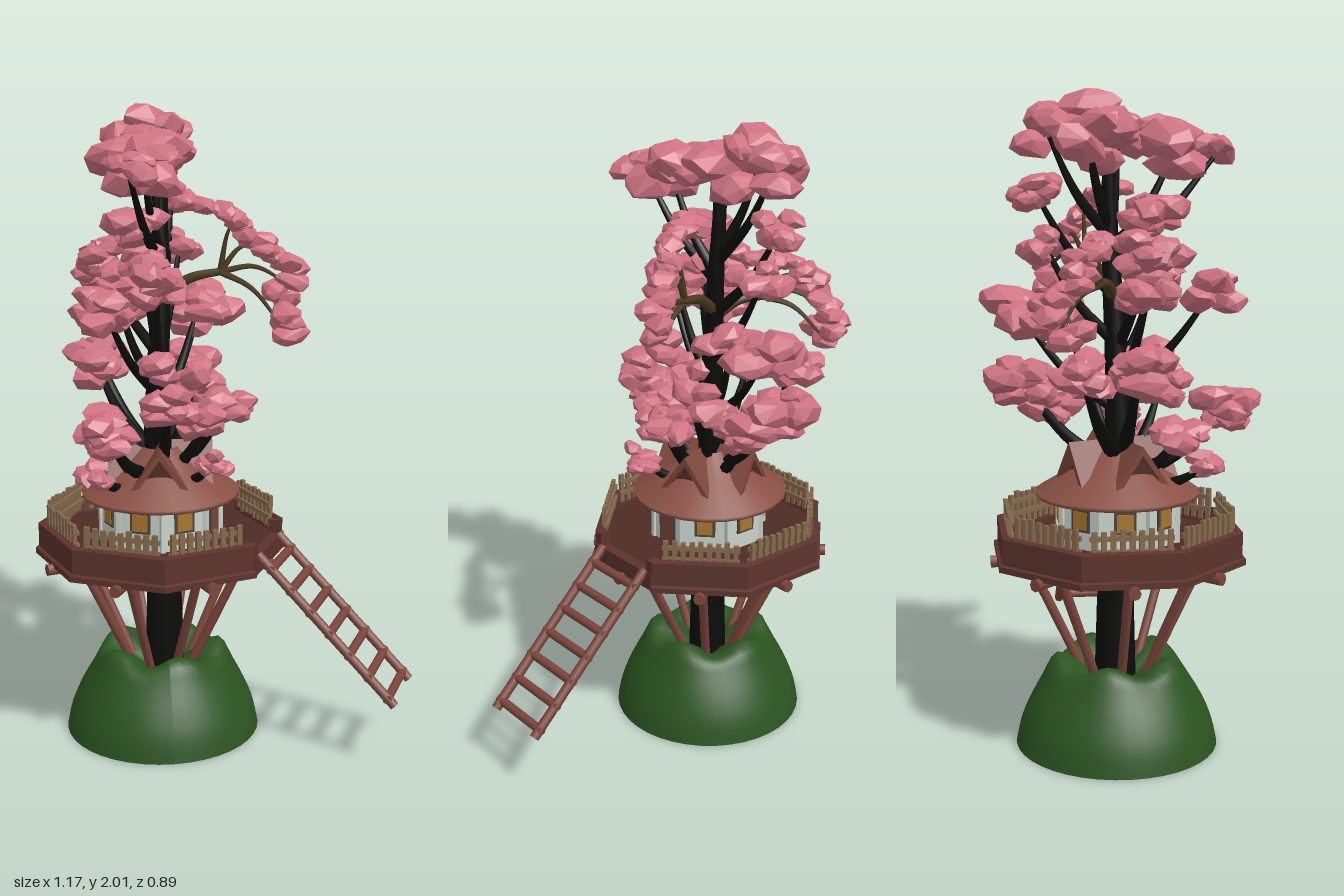
import * as THREE from 'three';
import { ConvexGeometry } from 'three/addons/geometries/ConvexGeometry.js';

const mat = (color, extra = {}) => new THREE.MeshStandardMaterial({ color, ...extra });
const flat = { flatShading: true };
const two = { flatShading: true, side: THREE.DoubleSide };
const M = {
  grass: mat(0x2b5420, { side: THREE.DoubleSide }), bark: mat(0x0c0c0b), twig: mat(0x4a3a1e),
  blossom: mat(0xce7382, flat), deck: mat(0x5c332c, two), floor: mat(0x4e2b25, flat),
  log: mat(0x7c463b), roof: mat(0x8a5044, { side: THREE.DoubleSide }), gable: mat(0x7c463b, two),
  wall: mat(0xc9d2cb, flat), pane: mat(0xa8752f), fence: mat(0x85694c), dark: mat(0x4a443c),
};
const V = (x, y, z) => new THREE.Vector3(x, y, z);
const P = (x, y) => new THREE.Vector2(x, y);
const CX = -0.19, CZ = -0.04, EIGHTH = Math.PI / 4;

let seed = 7;
const rnd = () => {
  seed = (seed * 16807) % 2147483647;
  return seed / 2147483647;
};
const spread = () => rnd() * 2 - 1;

function add(parent, name, geometry, material, x = 0, y = 0, z = 0) {
  const m = new THREE.Mesh(geometry, material);
  m.name = name;
  m.position.set(x, y, z);
  parent.add(m);
  return m;
}
const box = (p, name, w, h, d, material, x, y, z) =>
  add(p, name, new THREE.BoxGeometry(w, h, d), material, x, y, z);

// Round log between two points
function log(parent, name, a, b, r) {
  const m = add(parent, name, new THREE.CylinderGeometry(r, r, a.distanceTo(b), 8), M.log);
  m.position.copy(a).lerp(b, 0.5);
  m.quaternion.setFromUnitVectors(V(0, 1, 0), b.clone().sub(a).normalize());
}

// Tube through points, tapering from r0 to r1
function limb(parent, name, pts, r0, r1, material, sides = 7) {
  const curve = new THREE.CatmullRomCurve3(pts), n = 12;
  const g = new THREE.TubeGeometry(curve, n, r0, sides), p = g.attributes.position;
  for (let i = 0; i < p.count; i++) {
    const t = Math.floor(i / (sides + 1)) / n, c = curve.getPointAt(t);
    const v = V().fromBufferAttribute(p, i).sub(c).multiplyScalar(1 + (r1 / r0 - 1) * t).add(c);
    p.setXYZ(i, v.x, v.y, v.z);
  }
  add(parent, name, g, material);
}

// Faceted blossom clump, longer along one random direction
function clump(parent, x, y, z, size) {
  const pts = [], n = 22, turn = rnd() * 6, long = size * (1.05 + rnd() * .4);
  for (let i = 0; i < n; i++) {
    const h = 1 - (2 * (i + 0.5)) / n, a = i * 2.4 + turn + spread() * 0.5;
    const r = Math.sqrt(1 - h * h), k = 0.82 + rnd() * 0.3;
    pts.push(V(Math.cos(a) * r * long * k, h * size * .72 * k, Math.sin(a) * r * size * k));
  }
  const m = add(parent, 'blossomClump', new ConvexGeometry(pts), M.blossom, x, y, z);
  m.rotation.set(spread() * 0.25, rnd() * Math.PI, spread() * 0.25);
}

// Open dome with a lumpy crest and a hollow round the trunk
function buildHill(root) {
  const profile = new THREE.SplineCurve([P(.315, 0), P(.293, .09), P(.235, .205), P(.175, .277), P(.04, .2)]);
  const g = new THREE.LatheGeometry(profile.getPoints(14), 40);
  const p = g.attributes.position;
  for (let i = 0; i < p.count; i++) {
    const y = p.getY(i), a = Math.atan2(p.getZ(i), p.getX(i));
    p.setY(i, y + 0.018 * Math.sin(5 * a + 1) * (y / 0.27) ** 3);
  }
  g.computeVertexNormals();
  add(root, 'hill', g, M.grass, CX, 0, CZ);
}

// Deck, house, fence and ladder; the ladder side is local +x
function buildHouse(root) {
  const h = new THREE.Group();
  h.name = 'treehouse';
  h.position.set(CX, 0, CZ);
  h.rotation.y = -0.48;
  root.add(h);
  const octagon = (r, height) => new THREE.CylinderGeometry(r, r, height, 8, 1, false, EIGHTH / 2);
  add(h, 'deckFloor', octagon(.385, .05), M.floor, 0, .628, 0);
  const rim = [P(.375, .6), P(.403, .6), P(.403, .618), P(.392, .622), P(.392, .7), P(.37, .705), P(.362, .65)];
  add(h, 'deckRim', new THREE.LatheGeometry(rim, 7, EIGHTH * 2.5, EIGHTH * 7), M.deck);
  box(h, 'ladderSill', .035, .055, .295, M.deck, .35, .63, 0);
  for (const s of [-1, 1]) box(h, 'gatePost', .035, .1, .03, M.deck, .345, .65, s * .133);

  for (let i = 0; i < 8; i++) {
    const side = new THREE.Group();
    side.name = 'deckSide';
    side.rotation.y = i * EIGHTH;
    h.add(side);
    log(side, 'floorBeam', V(.06, .592, 0), V(.39, .592, 0), .019);
    log(side, 'strut', V(.275, .59, 0), V(.085, .19, 0), .0145);
    box(side, 'cornerPost', .014, .15, .014, M.wall, .176, .73, .073);
    // Walls carry a window, or the door beside the ladder
    if (i === 0) {
      box(side, 'doorFrame', .012, .125, .075, M.dark, .176, .717, 0);
      box(side, 'door', .014, .115, .06, M.log, .178, .713, 0);
      continue;
    }
    box(side, 'windowFrame', .012, .07, .066, M.dark, .176, .745, 0);
    box(side, 'windowPane', .016, .054, .05, M.pane, .177, .745, 0);
    for (const y of [.7, .74]) box(side, 'fenceRail', .01, .014, .245, M.fence, .33, y, 0);
    for (let k = -4; k <= 4; k++)
      box(side, 'fencePicket', .012, .09 + .022 * rnd(), .016, M.fence, .338, .715, k * .0275);
  }

  add(h, 'houseWalls', octagon(.19, .15), M.wall, 0, .73, 0);
  const roof = [P(.18, .8), P(.25, .795), P(.252, .808), P(.15, .87), P(.055, .95)];
  add(h, 'roof', new THREE.LatheGeometry(roof, 24), M.roof);
  // Steep gables around the trunk
  const roofShape = new THREE.Shape([P(-.09, 0), P(0, .125), P(.09, 0), P(.07, 0), P(0, .098), P(-.07, 0)]);
  const endShape = new THREE.Shape([P(-.07, 0), P(.07, 0), P(0, .098)]);
  for (let i = 0; i < 4; i++) {
    const d = new THREE.Group();
    d.name = 'gable';
    d.rotation.y = .35 + i * EIGHTH * 2;
    h.add(d);
    add(d, 'gableRoof', new THREE.ExtrudeGeometry(roofShape, { depth: .13, bevelEnabled: false }), M.gable, 0, .845, .035);
    add(d, 'gableEnd', new THREE.ExtrudeGeometry(endShape, { depth: .1, bevelEnabled: false }), M.floor, 0, .845, .035);
  }

  // Ladder
  const top = V(.36, .66, 0), foot = V(.8, .22, 0);
  for (const k of [-.108, .108])
    log(h, 'ladderRail', top.clone().setZ(k), foot.clone().setZ(k), .0155);
  for (let i = 0; i < 7; i++) {
    const c = top.clone().lerp(foot, .1 + i * .142);
    log(h, 'ladderRung', c.clone().setZ(-.12), c.clone().setZ(.12), .0145);
  }
}

function buildTree(root) {
  const tree = new THREE.Group();
  tree.name = 'tree';
  root.add(tree);
  const trunkAt = y => V(CX + .012 * Math.sin(y * 5), y, CZ - .045 * Math.max(0, y - 1.1));
  limb(tree, 'trunk', [.15, .5, .85, 1.2, 1.55, 1.85].map(trunkAt), .066, .018, M.bark, 10);

  // One branch with a cluster of clumps at its tip
  function cluster(x, y, z, size, n = 7) {
    const a = trunkAt(Math.max(.84, y - .3)), b = V(x, y - .01, z);
    const mid = a.clone().lerp(b, .55);
    mid.y -= .035;
    limb(tree, 'branch', [a, mid, b], y < 1.3 ? .03 : .02, .007, M.bark);
    for (let i = 0; i < n; i++) {
      const ang = i * 2.4 + rnd(), r = Math.sqrt((i + .3) / n) * size;
      clump(tree, x + Math.cos(ang) * r, y + spread() * size * .7, z + Math.sin(ang) * r * 1.15,
        size * (.8 + rnd() * .3));
    }
  }
  // Crown
  cluster(-.25, 1.835, .12, .08, 6);
  cluster(-.3, 1.82, .23, .052, 4);
  cluster(-.2, 1.86, -.05, .075, 5);
  cluster(-.23, 1.9, -.18, .078, 7);
  cluster(-.14, 1.88, -.25, .07, 5);
  // Middle tiers
  cluster(-.28, 1.64, .02, .06, 8);
  cluster(-.35, 1.54, -.05, .055);
  cluster(-.37, 1.42, .17, .055);
  cluster(-.32, 1.43, -.02, .06);
  cluster(-.21, 1.47, .08, .064);
  cluster(-.24, 1.55, .02, .055, 5);
  cluster(-.12, 1.71, -.28, .05, 6);
  cluster(-.1, 1.56, -.24, .048, 5);
  cluster(-.03, 1.35, -.28, .072);
  cluster(-.06, 1.35, -.16, .06, 4);
  // Lower tiers
  cluster(-.07, 1.16, -.31, .066, 9);
  cluster(-.06, 1.06, -.2, .055);
  cluster(-.38, 1.2, -.1, .058);
  cluster(-.36, 1.2, -.28, .055, 6);
  cluster(-.2, 1.22, .04, .055, 4);
  cluster(-.18, 1.12, .13, .058, 8);
  cluster(-.38, 1.06, .22, .054, 9);
  cluster(-.36, 1, .07, .05);
  cluster(-.42, .91, .13, .037, 6);
  cluster(-.04, .94, .14, .037, 6);
  cluster(.02, 1.1, .03, .052, 8);
  cluster(-.06, 1.05, .07, .05, 5);
  cluster(-.08, 1.14, -.06, .055, 6);

  // Drooping bough: twigs reaching to a chain of clumps that hangs in an arc
  function bough(arcPoints, forkPoint, startY) {
    const arc = new THREE.CatmullRomCurve3(arcPoints), start = trunkAt(startY);
    const elbow = start.clone().lerp(forkPoint, .5).add(V(0, .02, 0));
    limb(tree, 'bough', [start, elbow, forkPoint], .02, .012, M.twig);
    for (const t of [.3, .5, .75, .97]) {
      const end = arc.getPointAt(t);
      const bend = forkPoint.clone().lerp(end, .5).add(V(0, .035, 0));
      limb(tree, 'twig', [forkPoint, bend, end], .011, .004, M.twig, 5);
    }
    for (let i = 0; i < 20; i++) {
      const t = i / 19, c = arc.getPointAt(t), w = .012 + .045 * t;
      clump(tree, c.x + spread() * w, c.y, c.z + spread() * w, .036 + .016 * t);
    }
  }
  bough([V(-.13, 1.72, .02), V(0, 1.69, 0), V(.11, 1.6, -.03), V(.21, 1.49, -.04), V(.19, 1.31, 0)], V(0, 1.5, -.03), 1.42);
  bough([V(-.25, 1.58, -.14), V(-.35, 1.55, -.25), V(-.37, 1.44, -.34), V(-.35, 1.31, -.36)], V(-.29, 1.45, -.17), 1.4);
}

export function createModel() {
  const root = new THREE.Group();
  root.name = 'treehouseModel';
  buildHill(root);
  buildHouse(root);
  buildTree(root);
  return root;
}
